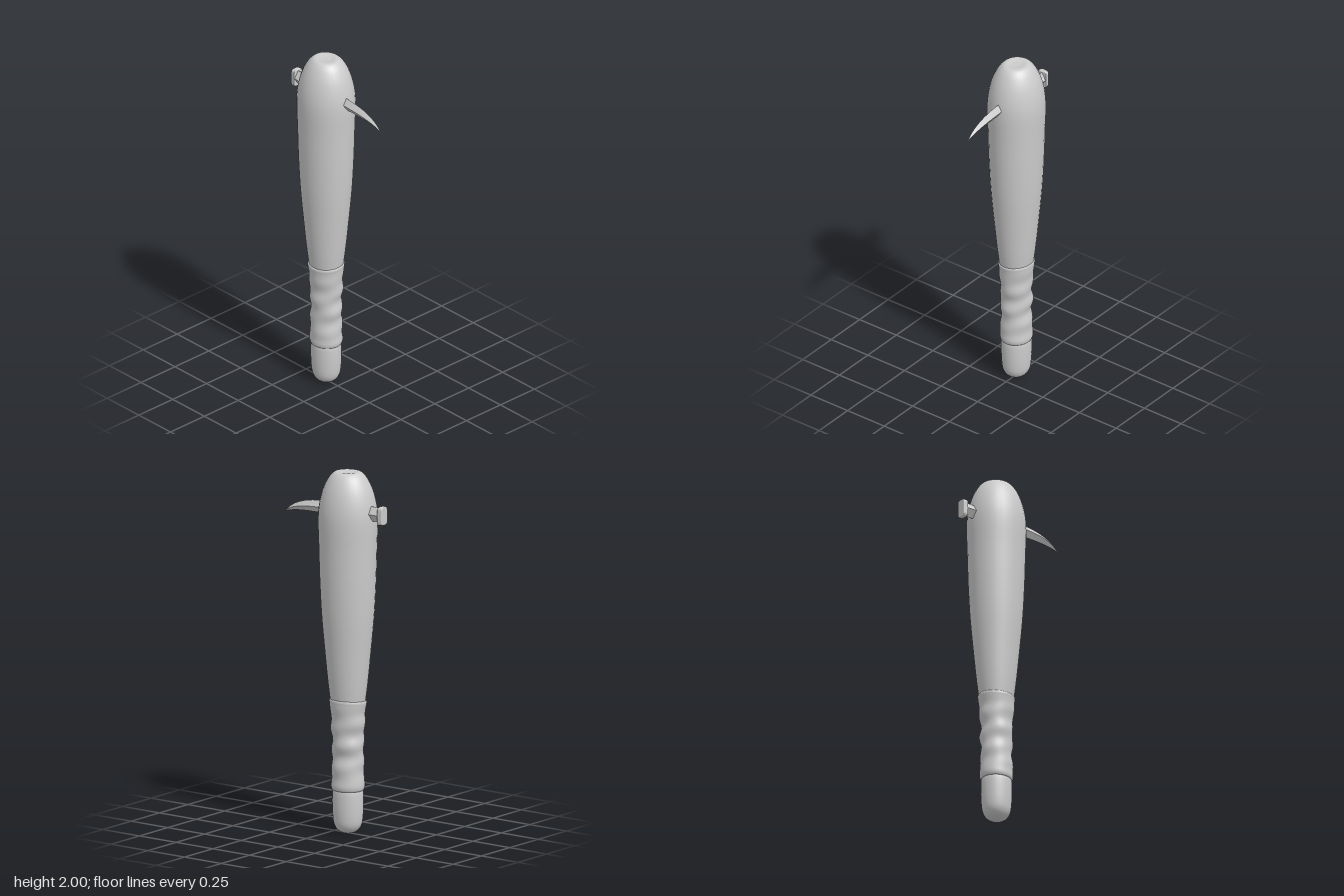
import * as THREE from 'three';

const CENTER_Z = -0.091;   // axis of the club
const DEPTH = 1.075;       // the club is slightly deeper than wide

const grey = (options = {}) => new THREE.MeshStandardMaterial({ color: 0xcccccc, ...options });

// Smooth lathe through a few [radius, y] points
function turned(name, points, steps, segments = 32) {
  const curve = new THREE.SplineCurve(points.map(([r, y]) => new THREE.Vector2(r, y)));
  const profile = curve.getPoints(steps);
  profile.forEach((p) => { p.x = Math.max(p.x, 0); });
  const mesh = new THREE.Mesh(new THREE.LatheGeometry(profile, segments), grey());
  mesh.name = name;
  return mesh;
}

// Leather wrap: a sleeve with irregular spiralling folds and a tilted rim
function makeGrip() {
  const profile = [
    [0.072, 0.238], [0.082, 0.242], [0.087, 0.262], [0.085, 0.30], [0.084, 0.36], [0.081, 0.42],
    [0.084, 0.48], [0.083, 0.54], [0.087, 0.60], [0.090, 0.66], [0.095, 0.71], [0.097, 0.728],
    [0.093, 0.738], [0.078, 0.738],
  ];
  const grip = turned('grip', profile, 72, 40);
  const pos = grip.geometry.attributes.position;
  for (let i = 0; i < pos.count; i++) {
    const x = pos.getX(i), y = pos.getY(i), z = pos.getZ(i);
    const a = Math.atan2(z, x);
    const t = THREE.MathUtils.clamp((y - 0.24) / 0.5, 0, 1);
    const fade = Math.sin(Math.PI * t);
    const fold = 0.0035 * Math.sin(y * 56 + a) + 0.0022 * Math.sin(y * 37 - 2 * a + 1);
    const k = 1 + fade * fold / Math.hypot(x, z);
    pos.setXYZ(i, x * k, y + t * 0.007 * Math.cos(a), z * k);
  }
  // Recompute normals, then weld the shading across the lathe seam
  const geo = grip.geometry;
  geo.computeVertexNormals();
  const n = geo.attributes.normal, row = pos.count / 41;
  for (let j = 0; j < row; j++) {
    const a = new THREE.Vector3().fromBufferAttribute(n, j);
    const b = new THREE.Vector3().fromBufferAttribute(n, 40 * row + j);
    a.add(b).normalize();
    n.setXYZ(j, a.x, a.y, a.z);
    n.setXYZ(40 * row + j, a.x, a.y, a.z);
  }
  return grip;
}

// Diamond-section spike running through the club and curving down to a point
function makeSpike() {
  // [z, middle y, half width, half height]
  const keys = [
    [-0.32, 1.788, 0.027, 0.041], [-0.20, 1.787, 0.027, 0.040], [0.00, 1.783, 0.025, 0.037],
    [0.08, 1.780, 0.024, 0.035], [0.15, 1.776, 0.0225, 0.032], [0.21, 1.769, 0.020, 0.027],
    [0.27, 1.755, 0.0145, 0.019], [0.31, 1.738, 0.008, 0.010], [0.34, 1.718, 0.0004, 0.0004],
  ];
  const path = new THREE.CatmullRomCurve3(keys.map(([z, y]) => new THREE.Vector3(0, y, z)));
  const size = new THREE.SplineCurve(keys.map((k) => new THREE.Vector2(k[2], k[3])));
  const steps = 32, rings = [];
  for (let i = 0; i <= steps; i++) {
    const c = path.getPoint(i / steps), s = size.getPoint(i / steps);
    rings.push([[s.x, 0], [0, s.y], [-s.x, 0], [0, -s.y]].map(([x, y]) => [x, c.y + y, c.z]));
  }
  const verts = [];
  for (let i = 0; i < steps; i++) {
    for (let j = 0; j < 4; j++) {
      const k = (j + 1) % 4;
      const a = rings[i][j], b = rings[i][k], c = rings[i + 1][k], d = rings[i + 1][j];
      verts.push(...a, ...b, ...c, ...a, ...c, ...d);
    }
  }
  const geo = new THREE.BufferGeometry();
  geo.setAttribute('position', new THREE.Float32BufferAttribute(verts, 3));
  geo.computeVertexNormals();
  const spike = new THREE.Mesh(geo, grey({ flatShading: true }));
  spike.name = 'spike';
  return spike;
}

// Rounded oblong head on the back end of the spike
function makeSpikeHead() {
  const shape = new THREE.Shape();
  const w = 0.027, h = 0.046, c = 0.015;
  shape.moveTo(-w, -h + c);
  shape.quadraticCurveTo(-w, -h, -w + c, -h);
  shape.lineTo(w - c, -h);
  shape.quadraticCurveTo(w, -h, w, -h + c);
  shape.lineTo(w, h - c);
  shape.quadraticCurveTo(w, h, w - c, h);
  shape.lineTo(-w + c, h);
  shape.quadraticCurveTo(-w, h, -w, h - c);
  const geo = new THREE.ExtrudeGeometry(shape, {
    depth: 0.016, bevelEnabled: true, bevelThickness: 0.006, bevelSize: 0.005, bevelSegments: 3, curveSegments: 4,
  });
  // Narrow the head towards its outer face
  const pos = geo.attributes.position;
  for (let i = 0; i < pos.count; i++) {
    const out = THREE.MathUtils.clamp((0.022 - pos.getZ(i)) / 0.028, 0, 1);
    pos.setX(i, pos.getX(i) * (1 - 0.12 * out));
  }
  geo.computeVertexNormals();
  const head = new THREE.Mesh(geo, grey());
  head.name = 'spikeHead';
  head.position.set(0, 1.786, -0.334);
  return head;
}

export function createModel() {
  const model = new THREE.Group();
  model.name = 'spikedClub';

  const club = new THREE.Group();
  club.name = 'club';
  club.position.z = CENTER_Z;
  club.scale.z = DEPTH;
  model.add(club);

  // Swelling shaft with a blunt rounded top
  club.add(turned('shaft', [
    [0.074, 0.60], [0.091, 0.73], [0.104, 0.84], [0.119, 1.0], [0.136, 1.2], [0.146, 1.4], [0.151, 1.58],
    [0.155, 1.73], [0.148, 1.82], [0.129, 1.90], [0.102, 1.96], [0.076, 1.992], [0.055, 2.0],
    [0.028, 1.996], [0, 1.995],
  ], 72));

  club.add(makeGrip());

  // Rounded butt below the grip
  club.add(turned('butt', [
    [0, 0], [0.028, 0.003], [0.054, 0.019], [0.071, 0.048], [0.078, 0.09], [0.081, 0.15], [0.081, 0.21],
    [0.079, 0.236], [0.074, 0.26],
  ], 36));

  model.add(makeSpike(), makeSpikeHead());
  return model;
}
